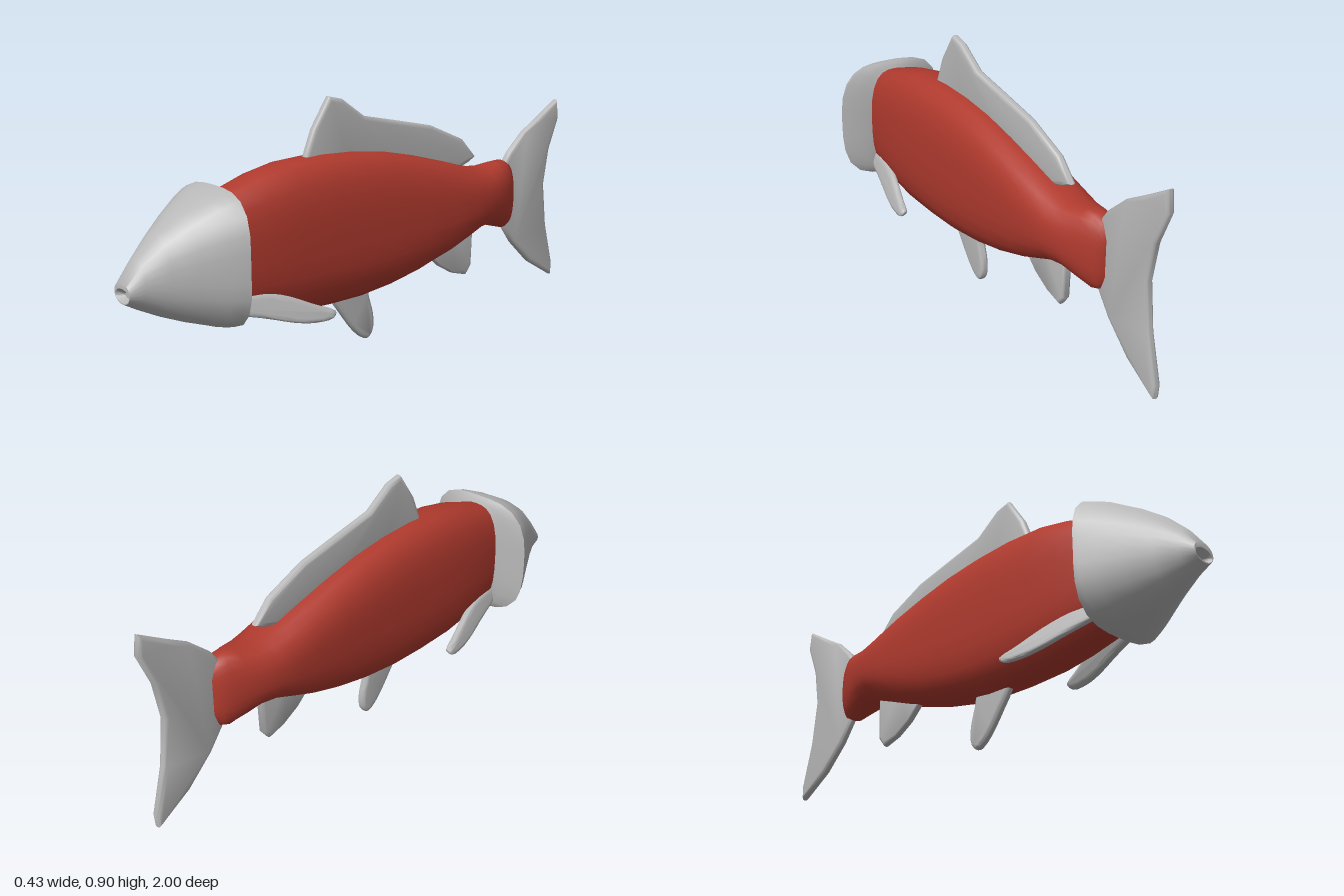
import * as THREE from 'three';
import { toCreasedNormals } from 'three/addons/utils/BufferGeometryUtils.js';

const SEG = 28;

// Skin over superellipse rings [z, top, bottom, halfWidth, exponent, sideShift], front to back
function loft(rings, crease) {
  const pos = [], idx = [];
  for (const [z, top, bottom, w, n, shift = 0] of rings) {
    const cy = (top + bottom) / 2, h = (top - bottom) / 2;
    for (let j = 0; j < SEG; j++) {
      const t = (j / SEG) * Math.PI * 2, c = Math.cos(t), s = Math.sin(t);
      const k = Math.pow(Math.abs(c) ** n + Math.abs(s) ** n, -1 / n);
      pos.push(w * c * k, cy + h * s * k, z + shift * c * c);
    }
  }
  const last = rings.length - 1;
  for (let i = 0; i < last; i++) {
    for (let j = 0; j < SEG; j++) {
      const k = (j + 1) % SEG;
      const a = i * SEG + j, b = i * SEG + k, d = a + SEG, c = b + SEG;
      idx.push(a, d, b, b, d, c);
    }
  }
  // Close both ends
  const f = pos.length / 3;
  for (const r of [rings[0], rings[last]]) pos.push(0, (r[1] + r[2]) / 2, r[0]);
  for (let j = 0; j < SEG; j++) {
    const k = (j + 1) % SEG;
    idx.push(f, j, k, f + 1, last * SEG + k, last * SEG + j);
  }
  const geo = new THREE.BufferGeometry();
  geo.setAttribute('position', new THREE.Float32BufferAttribute(pos, 3));
  geo.setIndex(idx);
  return toCreasedNormals(geo, crease);
}

// Thin blade with rounded edges from a [z, y] outline
function blade(points, smooth, half = 0.016) {
  let pts = points.map(([z, y]) => new THREE.Vector2(z, y));
  if (smooth) {
    const curve = new THREE.CatmullRomCurve3(pts.map(p => new THREE.Vector3(p.x, p.y, 0)), true);
    pts = curve.getPoints(28).slice(0, -1).map(p => new THREE.Vector2(p.x, p.y));
  }
  const geo = new THREE.ExtrudeGeometry(new THREE.Shape(pts), {
    depth: 0.008, bevelThickness: half - 0.004, bevelSize: 0.015, bevelOffset: -0.015, bevelSegments: 3,
  });
  geo.translate(0, 0, -0.004);
  geo.rotateY(-Math.PI / 2);
  return toCreasedNormals(geo, 0.9);
}

export function createModel() {
  const fish = new THREE.Group();
  fish.name = 'fish';
  const red = new THREE.MeshStandardMaterial({ color: 0xb03a2e });
  red.name = 'red';
  const grey = new THREE.MeshStandardMaterial({ color: 0xb8b8b8 });
  grey.name = 'grey';
  const add = (name, geo, mat) => {
    const mesh = new THREE.Mesh(geo, mat);
    mesh.name = name;
    fish.add(mesh);
    return mesh;
  };

  // Body, swelling at the middle and pinched before the tail
  add('body', loft([
    [0.68, 0.625, 0.24, 0.095, 2.8],
    [0.62, 0.645, 0.228, 0.104, 2.8],
    [0.50, 0.682, 0.204, 0.116, 2.9],
    [0.38, 0.705, 0.187, 0.121, 3],
    [0.22, 0.712, 0.180, 0.122, 3],
    [0.08, 0.705, 0.182, 0.122, 3],
    [-0.06, 0.686, 0.198, 0.122, 3],
    [-0.20, 0.654, 0.227, 0.122, 3],
    [-0.34, 0.615, 0.268, 0.122, 2.9],
    [-0.44, 0.585, 0.305, 0.119, 2.7],
    [-0.51, 0.566, 0.330, 0.113, 2.5],
    [-0.57, 0.560, 0.333, 0.101, 2.4],
    [-0.63, 0.568, 0.315, 0.083, 2.4],
    [-0.68, 0.571, 0.301, 0.064, 2.4],
    [-0.71, 0.555, 0.310, 0.047, 2.4],
    [-0.73, 0.510, 0.350, 0.025, 2.2],
  ], 1.2), red);

  // Head: recessed mouth, cone snout, wide gill edge
  add('head', loft([
    [0.975, 0.372, 0.352, 0.024, 2],
    [0.99, 0.382, 0.348, 0.036, 2],
    [1.00, 0.390, 0.344, 0.041, 2],
    [1.00, 0.410, 0.340, 0.046, 2],
    [0.95, 0.476, 0.312, 0.062, 2.1],
    [0.88, 0.545, 0.277, 0.098, 2.2],
    [0.80, 0.602, 0.245, 0.144, 2.5],
    [0.72, 0.645, 0.219, 0.188, 2.9],
    [0.68, 0.660, 0.211, 0.209, 3.1],
    [0.65, 0.667, 0.209, 0.216, 3.2, 0.015],
    [0.635, 0.650, 0.223, 0.145, 3.0],
  ], 0.8), grey);

  // Fins on the centre line
  add('dorsalFin', blade([
    [0.30, 0.66], [0.29, 0.70], [0.25, 0.80], [0.18, 0.905], [0.12, 0.89], [0.02, 0.82],
    [-0.12, 0.79], [-0.30, 0.75], [-0.46, 0.68], [-0.53, 0.605], [-0.49, 0.585],
    [-0.40, 0.56], [-0.15, 0.62], [0.10, 0.66],
  ]), grey);
  add('tailFin', blade([
    [-0.68, 0.54], [-0.72, 0.595], [-0.80, 0.665], [-0.88, 0.71], [-0.99, 0.775],
    [-1.0, 0.70], [-0.95, 0.58], [-0.925, 0.44], [-0.945, 0.27], [-0.99, 0.10],
    [-0.985, 0.05], [-0.85, 0.13], [-0.75, 0.225], [-0.68, 0.32],
  ]), grey);
  add('pelvicFin', blade([
    [0.18, 0.21], [0.12, 0.105], [0.05, 0.022], [0.01, 0.002], [-0.015, 0.025],
    [-0.02, 0.08], [0.0, 0.155], [0.02, 0.21],
  ], true), grey);
  add('analFin', blade([
    [-0.27, 0.28], [-0.35, 0.205], [-0.42, 0.165], [-0.49, 0.145], [-0.518, 0.18],
    [-0.525, 0.345], [-0.40, 0.35],
  ]), grey);

  // Paired side fins, swept back, outward and down
  for (const side of [1, -1]) {
    const geo = blade([
      [0.66, 0.30], [0.55, 0.305], [0.45, 0.28], [0.35, 0.235], [0.285, 0.205],
      [0.30, 0.185], [0.36, 0.18], [0.43, 0.19], [0.53, 0.22], [0.66, 0.265],
    ], true, 0.014);
    const p = geo.attributes.position;
    for (let i = 0; i < p.count; i++) {
      const shift = 0.09 + (0.6 - p.getZ(i)) * 0.15 + (0.28 - p.getY(i)) * 0.32;
      p.setX(i, p.getX(i) + side * shift);
    }
    geo.computeVertexNormals();
    add(side > 0 ? 'leftPectoralFin' : 'rightPectoralFin', toCreasedNormals(geo, 0.9), grey);
  }
  return fish;
}
